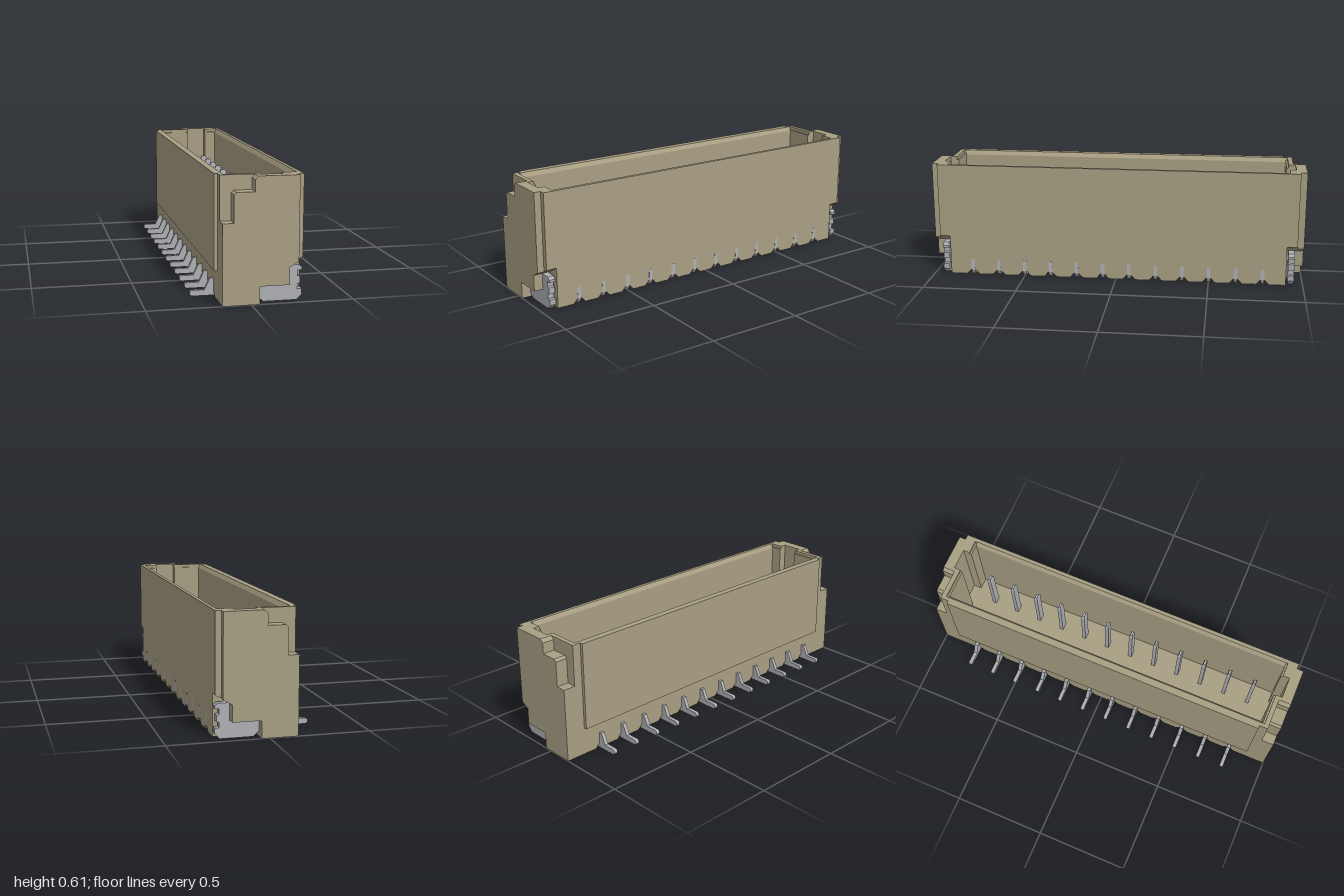
import * as THREE from 'three';

const housingMat = new THREE.MeshStandardMaterial({ color: 0xa89f83, flatShading: true });
housingMat.name = 'beigePlastic';
const metalMat = new THREE.MeshStandardMaterial({ color: 0xaeafb4, flatShading: true });
metalMat.name = 'greyMetal';

const PINS = 12, PITCH = 0.1431, FLOOR = 0.145, TOP = 0.61;
const pinZ = i => (i - (PINS - 1) / 2) * PITCH;

// Extrude an x-y outline between two z positions
function slab(points, z0, z1) {
  const shape = new THREE.Shape(points.map(p => new THREE.Vector2(p[0], p[1])));
  return new THREE.ExtrudeGeometry(shape, { depth: z1 - z0, bevelEnabled: false }).translate(0, 0, z0);
}

function box(x0, x1, y0, y1, z0, z1) {
  return new THREE.BoxGeometry(x1 - x0, y1 - y0, z1 - z0)
    .translate((x0 + x1) / 2, (y0 + y1) / 2, (z0 + z1) / 2);
}

function add(parent, name, geometry, material) {
  const mesh = new THREE.Mesh(geometry, material);
  mesh.name = name;
  parent.add(mesh);
  return mesh;
}

// Mirror to the other end, reversing the triangles
function mirrorZ(geometry) {
  const g = geometry.index ? geometry.toNonIndexed() : geometry.clone();
  const p = g.attributes.position;
  for (let i = 0; i < p.count; i += 3) {
    const t = [0, 1, 2].map(k => [p.getX(i + k), p.getY(i + k), -p.getZ(i + k)]);
    p.setXYZ(i, ...t[0]);
    p.setXYZ(i + 1, ...t[2]);
    p.setXYZ(i + 2, ...t[1]);
  }
  g.computeVertexNormals();
  return g;
}

function addBothEnds(parent, name, geometry, material) {
  add(parent, name + 'Front', geometry, material);
  add(parent, name + 'Back', mirrorZ(geometry), material);
}

// Outline of one end-wall layer, with optional tab pocket, key slot and corner recess
function endOutline({ pocket, slot, recess }) {
  const pts = [[-0.14, 0]];
  if (pocket) pts.push([0.041, 0], [0.041, 0.087], [0.184, 0.087], [0.184, 0.172], [0.228, 0.197]);
  else pts.push([0.228, 0]);
  pts.push([0.228, TOP]);
  if (slot) pts.push([0.163, TOP], [0.163, FLOOR], [0.05, FLOOR], [0.05, TOP]);
  if (recess) pts.push([0.03, TOP], [0.013, 0.593], [0.013, 0.537], [-0.073, 0.537],
    [-0.086, 0.525], [-0.086, 0.393], [-0.14, 0.393]);
  else pts.push([-0.14, TOP]);
  return pts;
}

function makeHousing() {
  const g = new THREE.Group();
  g.name = 'housing';

  // Base block with a tapered groove under each pin, extruded along x
  const base = [[-0.91, 0]];
  for (let i = 0; i < PINS; i++) {
    const z = pinZ(i);
    base.push([z - 0.034, 0], [z - 0.013, 0.024], [z + 0.013, 0.024], [z + 0.034, 0]);
  }
  base.push([0.91, 0], [0.91, FLOOR], [-0.91, FLOOR]);
  add(g, 'groovedBase', slab(base, -0.257, 0.14).rotateY(-Math.PI / 2).scale(1, 1, 1), housingMat);

  // Long walls with a chamfered inner rim
  add(g, 'rightWall', slab([[-0.14, FLOOR], [-0.107, FLOOR], [-0.107, 0.588], [-0.121, TOP], [-0.14, TOP]], -0.9, 0.9), housingMat);
  add(g, 'rightWallPanel', box(-0.157, -0.14, FLOOR, TOP, -0.89, 0.89), housingMat);
  add(g, 'leftWall', slab([[0.224, FLOOR], [0.257, FLOOR], [0.257, TOP], [0.238, TOP], [0.224, 0.588]], -0.9, 0.9), housingMat);

  // End walls, stacked in layers outward
  const rim = [[-0.14, FLOOR], [0.257, FLOOR], [0.257, TOP], [0.238, TOP], [0.238, 0.592], [0.163, 0.592],
    [0.163, FLOOR], [0.05, FLOOR], [0.05, 0.592], [-0.121, 0.592], [-0.121, TOP], [-0.14, TOP]];
  addBothEnds(g, 'endRim', slab(rim, 0.9, 0.91), housingMat);
  addBothEnds(g, 'endWallInner', slab(endOutline({ pocket: true, slot: true }), 0.91, 0.935), housingMat);
  addBothEnds(g, 'endWallMiddle', slab(endOutline({ pocket: true, slot: true, recess: true }), 0.935, 0.945), housingMat);
  addBothEnds(g, 'endWallOuter', slab(endOutline({ pocket: true, recess: true }), 0.945, 1), housingMat);
  addBothEnds(g, 'cornerStrip', slab([[0.228, 0.197], [0.257, 0.213], [0.257, TOP], [0.228, TOP]], 0.91, 0.965), housingMat);
  return g;
}

// Solder foot, rear stub and upright contact of one pin
function makePin() {
  const g = new THREE.Group();
  const w = 0.01, r = 0.014;
  const foot = [];
  for (let i = 0; i <= 8; i++) {
    const a = Math.PI / 2 + (i / 8) * Math.PI;
    foot.push([-0.243 + r * Math.cos(a), r + r * Math.sin(a)]);
  }
  foot.push([0.245, 0], [0.2575, 0.022], [0.2575, 0.085], [-0.157, 0.085], [-0.184, 0.028]);
  add(g, 'solderFoot', slab(foot, -w, w), metalMat);
  add(g, 'floorStub', box(-0.05, -0.005, 0.08, 0.152, -w, w), metalMat);
  add(g, 'contactPost', box(0.11, 0.15, 0.08, 0.435, -w, w), metalMat);
  // Tapered tip
  const tip = new THREE.CylinderGeometry(0.6 * Math.SQRT1_2, Math.SQRT1_2, 1, 4, 1)
    .rotateY(Math.PI / 4).scale(0.04, 0.02, 0.02).translate(0.13, 0.445, 0);
  add(g, 'contactTip', tip, metalMat);
  return g;
}

export function createModel() {
  const model = new THREE.Group();
  model.name = 'pinHeader';
  model.add(makeHousing());

  for (let i = 0; i < PINS; i++) {
    const pin = makePin();
    pin.name = 'pin' + (i + 1);
    pin.position.z = pinZ(i);
    model.add(pin);
  }

  // Notched anchor tabs in the end pockets
  const tab = [[0.068, 0], [0.232, 0], [0.257, 0.025], [0.257, 0.053], [0.235, 0.053], [0.235, 0.078],
    [0.248, 0.082], [0.248, 0.114], [0.235, 0.118], [0.235, 0.145], [0.257, 0.145], [0.257, 0.158],
    [0.243, 0.172], [0.184, 0.172], [0.184, 0.087], [0.041, 0.087], [0.041, 0.026]];
  addBothEnds(model, 'anchorTab', slab(tab, 0.92, 0.953), metalMat);
  return model;
}
